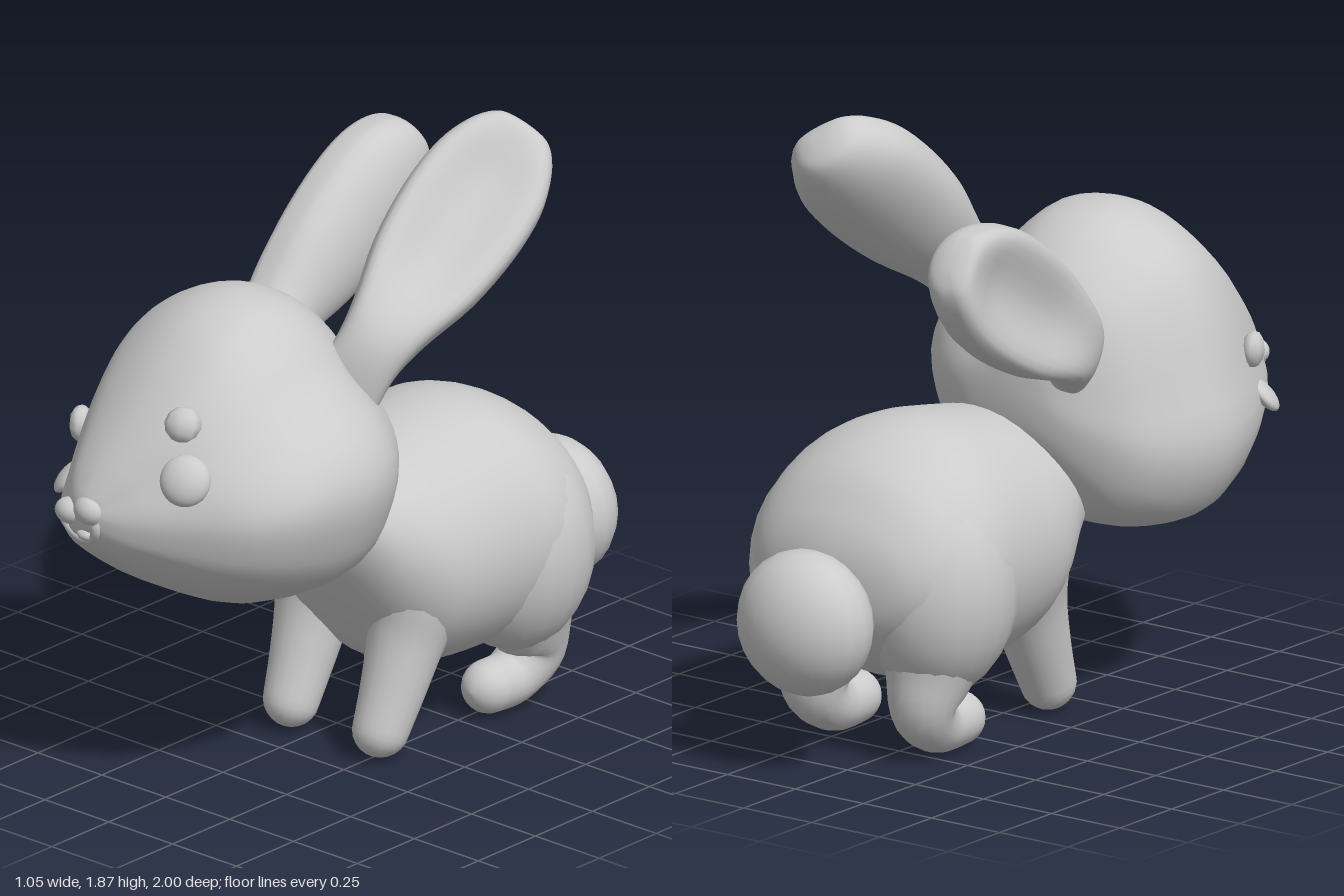
import * as THREE from 'three';

const V = (x, y, z) => new THREE.Vector3(x, y, z);
const mat = new THREE.MeshStandardMaterial({ color: 0xcccccc });

function add(parent, name, geometry) {
  const mesh = new THREE.Mesh(geometry, mat);
  mesh.name = name;
  parent.add(mesh);
  return mesh;
}

// Smoothly subdivides rows of numbers (Catmull-Rom on every column)
function smoothRows(rows, steps) {
  const out = [], n = rows.length;
  for (let i = 0; i < n - 1; i++) {
    const a = rows[Math.max(i - 1, 0)], b = rows[i], c = rows[i + 1], d = rows[Math.min(i + 2, n - 1)];
    for (let s = 0; s < steps; s++) {
      const t = s / steps;
      out.push(b.map((_, k) => 0.5 * (2 * b[k] + (c[k] - a[k]) * t +
        (2 * a[k] - 5 * b[k] + 4 * c[k] - d[k]) * t * t +
        (3 * b[k] - a[k] - 3 * c[k] + d[k]) * t * t * t)));
    }
  }
  out.push(rows[n - 1]);
  return out;
}

// Skins closed rings of points and caps both ends
function loft(rings) {
  const m = rings[0].length, n = rings.length, pos = [], idx = [];
  const centre = r => r.reduce((s, p) => s.add(p), V(0, 0, 0)).divideScalar(m);
  rings.forEach(r => r.forEach(p => pos.push(p.x, p.y, p.z)));
  [rings[0], rings[n - 1]].forEach(r => pos.push(...centre(r).toArray()));
  for (let j = 0; j < m; j++) {
    const k = (j + 1) % m;
    for (let i = 0; i < n - 1; i++) {
      const a = i * m + j, b = i * m + k, c = b + m, d = a + m;
      idx.push(a, b, c, a, c, d);
    }
    idx.push(n * m, k, j, n * m + 1, (n - 1) * m + j, (n - 1) * m + k);
  }
  const g = new THREE.BufferGeometry();
  g.setAttribute('position', new THREE.Float32BufferAttribute(pos, 3));
  g.setIndex(idx);
  g.computeVertexNormals();
  return g;
}

// Rows are z, xMin, xMax, yMin, yMax; outline points lie in -1..1
function blob(rows, outline) {
  return loft(smoothRows(rows, 4).map(([z, x0, x1, y0, y1]) => outline.map(p =>
    V((x0 + x1) / 2 + p.x * (x1 - x0) / 2, (y0 + y1) / 2 + p.y * (y1 - y0) / 2, z))));
}

// Ellipsoid whose local z looks along dir
function ball(parent, name, at, size, dir = V(0, 0, 1), seg = 20) {
  const mesh = add(parent, name, new THREE.SphereGeometry(1, seg, Math.ceil(seg * 0.7)));
  mesh.position.copy(at);
  mesh.scale.set(...size);
  mesh.quaternion.setFromUnitVectors(V(0, 0, 1), dir.clone().normalize());
}

// Rows are x, y, z, radius from the toe upward; the toe gets a round end
function limb(parent, name, rows) {
  const path = smoothRows(rows, 5).map(([x, y, z, r]) => ({ p: V(x, y, z), r }));
  const { p, r } = path[0], out = p.clone().sub(path[1].p).normalize();
  const toe = [6, 5, 4, 3, 2, 1].map(k => ({
    p: p.clone().addScaledVector(out, r * Math.sin(k * Math.PI / 12)),
    r: Math.max(r * Math.cos(k * Math.PI / 12), 0.002),
  }));
  const all = [...toe, ...path];
  add(parent, name, loft(all.map((c, i) => {
    const t = all[Math.min(i + 1, all.length - 1)].p.clone().sub(all[Math.max(i - 1, 0)].p);
    const u = V(1, 0, 0), v = t.cross(u).normalize();
    return Array.from({ length: 20 }, (_, j) => {
      const q = j / 20 * Math.PI * 2;
      return c.p.clone().addScaledVector(u, c.r * Math.cos(q)).addScaledVector(v, c.r * Math.sin(q));
    });
  })));
}

// Plump ear with a shallow hollow on the side that faces "open"
function ear(parent, name, base, tip, open) {
  const axis = tip.clone().sub(base), a = axis.clone().normalize();
  const u = open.clone().cross(a).normalize(), v = a.clone().cross(u);
  // along, half width, half thickness, hollow, sink into the head
  const rows = smoothRows([
    [-0.12, 0.12, 0.1, 0, 0.14], [0.03, 0.105, 0.095, 0, 0.04], [0.18, 0.125, 0.105, 0.2, 0],
    [0.4, 0.175, 0.118, 0.55, 0], [0.62, 0.195, 0.122, 0.65, 0], [0.8, 0.187, 0.118, 0.6, 0],
    [0.93, 0.15, 0.105, 0.35, 0], [1.01, 0.1, 0.08, 0.1, 0], [1.035, 0.05, 0.04, 0, 0], [1.04, 0.01, 0.005, 0, 0]], 4);
  add(parent, name, loft(rows.map(([t, w, d, hollow, sink]) => Array.from({ length: 32 }, (_, j) => {
    const q = j / 32 * Math.PI * 2, s = Math.sin(q);
    const depth = d * (s > 0 ? Math.sqrt(s) - hollow * s ** 4 : s) - sink;
    return base.clone().addScaledVector(axis, t).addScaledVector(u, w * Math.cos(q)).addScaledVector(v, depth);
  }))));
}

export function createModel() {
  const rabbit = new THREE.Group();
  rabbit.name = 'rabbit';

  // Head, turned and tilted to its right, with full cheeks
  const face = new THREE.CatmullRomCurve3([
    [0.5, 1.0], [0.44, 1.14], [0.28, 1.28], [0.2, 1.37], [0.09, 1.455], [-0.02, 1.48], [-0.13, 1.472],
    [-0.25, 1.42], [-0.36, 1.33], [-0.43, 1.2], [-0.49, 1.0], [-0.53, 0.8], [-0.44, 0.61], [-0.3, 0.545],
    [-0.12, 0.53], [0.12, 0.555], [0.38, 0.7], [0.46, 0.83],
  ].map(([x, y]) => V((x + 0.015) / 0.515, (y - 1.005) / 0.475, 0)), true).getPoints(54).slice(0, -1);
  add(rabbit, 'head', blob([
    [-0.03, -0.06, 0.02, 0.97, 1.05], [-0.015, -0.2, 0.15, 0.85, 1.14], [0.04, -0.33, 0.26, 0.72, 1.25],
    [0.12, -0.43, 0.35, 0.61, 1.35], [0.25, -0.5, 0.45, 0.545, 1.445], [0.4, -0.53, 0.495, 0.53, 1.48],
    [0.55, -0.495, 0.485, 0.56, 1.445], [0.68, -0.435, 0.45, 0.62, 1.355], [0.8, -0.36, 0.35, 0.695, 1.23],
    [0.9, -0.28, 0.15, 0.775, 1.1], [0.95, -0.215, 0.02, 0.83, 1.02], [0.973, -0.16, -0.06, 0.88, 0.975],
    [0.98, -0.12, -0.09, 0.92, 0.945]], face));

  // Ears
  ear(rabbit, 'leftEar', V(0.24, 1.25, 0.17), V(0.275, 1.785, -0.49), V(0.6, 0.55, 0.5));
  ear(rabbit, 'rightEar', V(-0.285, 1.12, 0.04), V(-0.31, 1.56, -0.64), V(-0.95, 0, 0.06));

  // Eyes and brow spots
  const leftLook = V(0.4, 0.4, 0.8);
  ball(rabbit, 'leftEye', V(0.17, 1.08, 0.855), [0.077, 0.077, 0.045], leftLook);
  ball(rabbit, 'rightEye', V(-0.425, 0.88, 0.7), [0.06, 0.06, 0.025], V(-0.6, 0.65, 0.45));
  ball(rabbit, 'leftBrow', V(0.1, 1.215, 0.785), [0.058, 0.055, 0.04], leftLook, 8);
  ball(rabbit, 'rightBrow', V(-0.425, 1.03, 0.645), [0.055, 0.055, 0.035], V(-0.87, -0.05, 0.44), 8);

  // Muzzle and open mouth
  ball(rabbit, 'muzzle', V(-0.195, 0.915, 0.95), [0.05, 0.04, 0.04]);
  ball(rabbit, 'muzzle', V(-0.11, 0.94, 0.957), [0.055, 0.045, 0.043]);
  const lip = add(rabbit, 'lowerLip', new THREE.TorusGeometry(0.075, 0.015, 8, 20, Math.PI));
  lip.position.set(-0.145, 0.905, 0.97);
  lip.scale.y = 0.9;
  lip.rotation.set(0.3, -0.15, Math.PI + 0.2);
  ball(rabbit, 'tongue', V(-0.12, 0.862, 0.96), [0.035, 0.018, 0.025]);

  // Body
  const round = Array.from({ length: 40 }, (_, j) => V(Math.cos(j * Math.PI / 20), Math.sin(j * Math.PI / 20), 0));
  add(rabbit, 'body', blob([
    [-0.745, 0.07, 0.11, 0.54, 0.6], [-0.73, -0.07, 0.25, 0.44, 0.67], [-0.69, -0.19, 0.37, 0.36, 0.755],
    [-0.6, -0.275, 0.455, 0.27, 0.87], [-0.45, -0.325, 0.505, 0.2, 0.95], [-0.3, -0.315, 0.495, 0.18, 0.97],
    [-0.1, -0.29, 0.475, 0.2, 0.94], [0, -0.265, 0.445, 0.25, 0.92], [0.1, -0.22, 0.39, 0.37, 0.92],
    [0.19, -0.19, 0.33, 0.51, 0.92], [0.25, -0.12, 0.25, 0.62, 0.88]], round));

  // Haunches and legs, mirrored about the body's middle
  const mid = 0.09;
  for (const [side, s] of [['left', 1], ['right', -1]]) {
    const at = ([x, ...rest]) => [mid + s * x, ...rest];
    ball(rabbit, side + 'Haunch', V(mid + s * 0.195, 0.51, -0.455), [0.237, 0.33, 0.245]);
    limb(rabbit, side + 'FrontLeg', [[0.175, 0.085, 0.105, 0.084], [0.178, 0.2, 0.055, 0.097],
      [0.18, 0.33, 0.005, 0.115], [0.175, 0.43, -0.03, 0.145], [0.15, 0.55, -0.06, 0.19]].map(at));
    limb(rabbit, side + 'BackLeg', [[0.19, 0.083, -0.35, 0.081], [0.19, 0.086, -0.45, 0.085],
      [0.2, 0.15, -0.525, 0.1], [0.205, 0.26, -0.505, 0.135], [0.2, 0.4, -0.46, 0.195]].map(at));
  }

  // Tail
  ball(rabbit, 'tail', V(mid, 0.45, -0.835), [0.22, 0.218, 0.165]);
  return rabbit;
}
